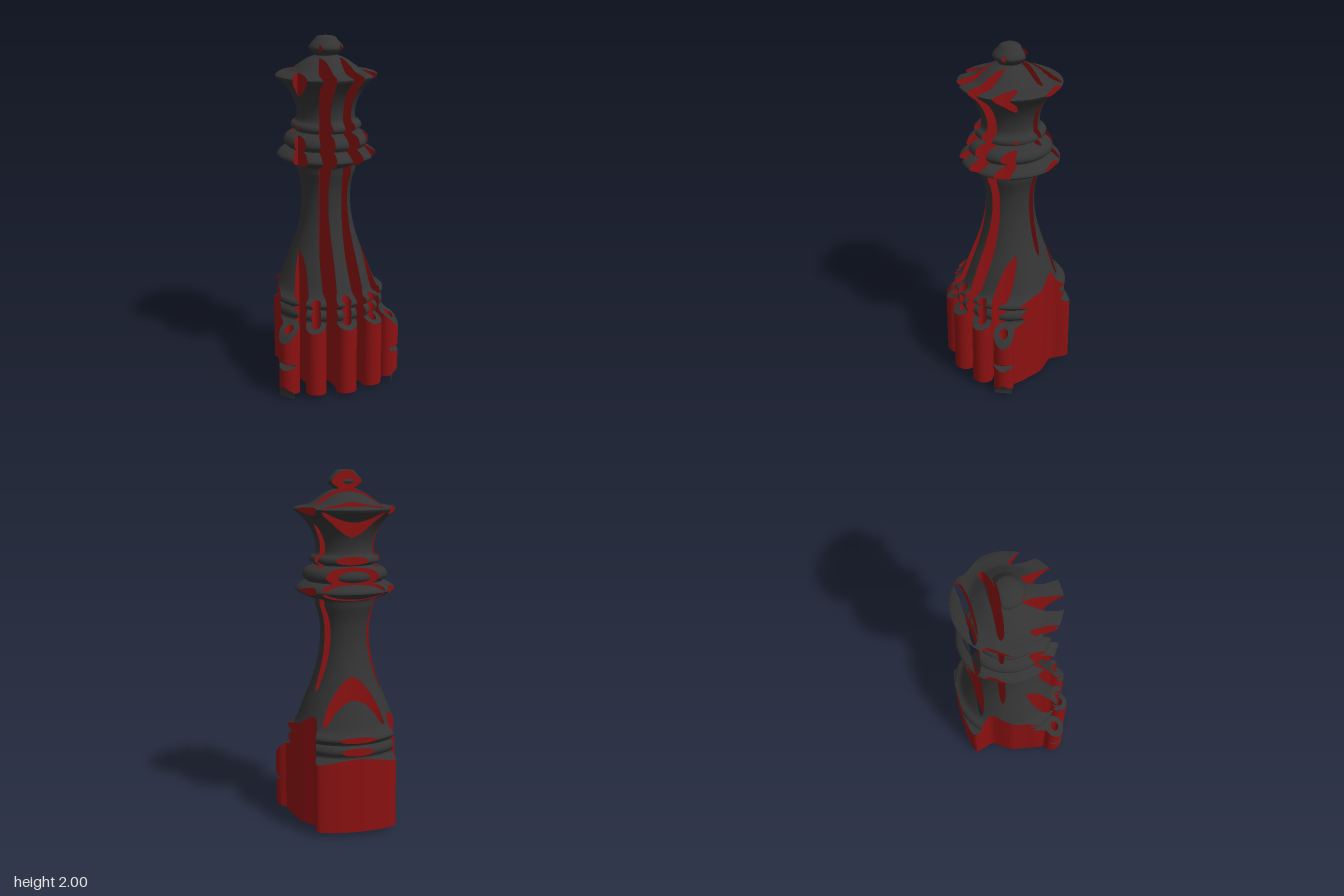
import * as THREE from 'three';
import { toCreasedNormals } from 'three/addons/utils/BufferGeometryUtils.js';

const V = (x, y) => new THREE.Vector2(x, y);
const AXIS_Z = -0.025; // the turned body sits slightly behind the middle

// Turned profile [radius, height], bottom to top
const profile = new THREE.SplineCurve([
  [0.40, 0], [0.405, 0.04], [0.43, 0.07], [0.435, 0.17], [0.395, 0.195], [0.395, 0.21], [0.435, 0.23],
  [0.435, 0.32], [0.415, 0.36], [0.385, 0.40], [0.335, 0.43], [0.31, 0.45], [0.325, 0.475], [0.32, 0.50],
  [0.30, 0.52], [0.325, 0.54], [0.325, 0.56], [0.29, 0.58], [0.265, 0.63], [0.23, 0.72], [0.19, 0.82],
  [0.155, 0.94], [0.138, 1.06], [0.142, 1.18], [0.165, 1.26], [0.17, 1.295], [0.215, 1.31], [0.272, 1.34],
  [0.272, 1.36], [0.235, 1.385], [0.21, 1.395], [0.235, 1.415], [0.235, 1.44], [0.215, 1.465], [0.17, 1.48],
  [0.17, 1.49], [0.197, 1.505], [0.19, 1.53], [0.165, 1.545], [0.163, 1.60], [0.18, 1.66], [0.215, 1.72],
  [0.25, 1.755], [0.277, 1.78], [0.275, 1.797], [0.20, 1.812], [0.165, 1.835], [0.115, 1.87], [0.07, 1.89],
  [0.065, 1.90], [0.092, 1.925], [0.092, 1.945], [0.065, 1.975], [0.048, 1.993], [0, 2.0],
].map(p => V(...p))).getPoints(125);
for (let i = 0; i < profile.length; i++) {
  profile[i].x = Math.max(profile[i].x, 0);
  profile[i].y = i ? Math.min(2, Math.max(profile[i].y, profile[i - 1].y + 1e-4)) : 0;
}

const bottomY = r => 0.04 * (r / 0.43) ** 2;
const radiusAt = (x, z) => Math.hypot(x, z - AXIS_Z);

// Footprint pieces: smooth runs and round finger tips
const smooth = (pts, n = 20) => new THREE.SplineCurve(pts.map(p => V(...p))).getPoints(n);
function arc(cx, cz, r, a0, a1, n = 24) {
  return Array.from({ length: n + 1 }, (_, i) => {
    const a = a0 + (a1 - a0) * i / n;
    return V(cx + r * Math.cos(a), cz + r * Math.sin(a));
  });
}

const TIP = 0.058;
const halfOutline = [
  ...smooth([[0, -0.34], [0.1, -0.337], [0.18, -0.325], [0.22, -0.31], [0.228, -0.29], [0.217, -0.25],
    [0.2, -0.2], [0.212, -0.17], [0.25, -0.12], [0.277, -0.075], [0.293, 0], [0.31, 0.065], [0.316, 0.12]], 56),
  ...arc(0.307, 0.183, TIP, -1.2, Math.PI + 0.6),
  ...smooth([[0.253, 0.135], [0.245, 0.11], [0.222, 0.065], [0.185, 0.027]], 12),
  ...smooth([[0.185, 0.027], [0.18, 0.06], [0.178, 0.1], [0.18, 0.14], [0.19, 0.187]], 14),
  ...arc(0.17, 0.248, TIP, -1.15, Math.PI + 0.55),
  ...smooth([[0.116, 0.2], [0.111, 0.16], [0.096, 0.11], [0.06, 0.027]], 14),
  ...smooth([[0.06, 0.027], [0.044, 0.08], [0.037, 0.13], [0.036, 0.18], [0.042, 0.235]], 14),
  ...arc(0, 0.282, TIP, -0.75, Math.PI / 2, 18),
];
// Completes a half contour by mirroring it in x
const mirrored = half => [...half, ...half.slice(1, -1).reverse().map(p => V(-p.x, p.y))];
const dedupe = c => c.filter((p, i) => p.distanceTo(c[(i + 1) % c.length]) > 1e-5);
const orient = (c, sign) => (THREE.ShapeUtils.area(c) * sign < 0 ? c.reverse() : c);

const outline = orient(dedupe(mirrored(halfOutline)), -1);
const holes = [
  mirrored(smooth([[0, -0.114], [0.1, -0.117], [0.17, -0.12], [0.19, -0.107], [0.17, -0.088], [0.1, -0.074], [0, -0.068]], 30)),
  mirrored(smooth([[0, -0.243], [0.09, -0.245], [0.155, -0.248], [0.175, -0.235], [0.15, -0.214], [0.09, -0.202], [0, -0.198]], 30)),
  ...[[0, 0.282], [0.17, 0.248], [-0.17, 0.248], [0.307, 0.183], [-0.307, 0.183]]
    .map(([x, z]) => arc(x, z, 0.027, 0, Math.PI * 2, 24).slice(0, -1)),
].map(c => orient(dedupe(c), 1));
const contours = [outline, ...holes];

// Signed distance to the footprint, negative inside
function footprint(x, z) {
  let best = Infinity, inside = false;
  for (const c of contours) {
    for (let i = 0, j = c.length - 1; i < c.length; j = i++) {
      const a = c[j], b = c[i], dx = b.x - a.x, dz = b.y - a.y;
      const t = Math.min(1, Math.max(0, ((x - a.x) * dx + (z - a.y) * dz) / (dx * dx + dz * dz)));
      best = Math.min(best, (x - a.x - t * dx) ** 2 + (z - a.y - t * dz) ** 2);
      if ((a.y > z) !== (b.y > z) && x < a.x + (z - a.y) / dz * dx) inside = !inside;
    }
  }
  return Math.sqrt(best) * (inside ? -1 : 1);
}

// Adds a grid surface to out, trimmed to where its fourth value is negative
function trimmedGrid(out, nu, nv, point) {
  const grid = [];
  for (let u = 0; u <= nu; u++) {
    grid.push(Array.from({ length: nv + 1 }, (_, v) => point(u, v)));
  }
  for (let u = 0; u < nu; u++) {
    for (let v = 0; v < nv; v++) {
      const quad = [grid[u][v], grid[u + 1][v], grid[u + 1][v + 1], grid[u][v + 1]];
      const poly = [];
      quad.forEach((a, i) => {
        const b = quad[(i + 1) % 4];
        if (a[3] <= 0) poly.push(a);
        if ((a[3] <= 0) !== (b[3] <= 0)) {
          const t = a[3] / (a[3] - b[3]);
          poly.push(a.map((n, k) => n + (b[k] - n) * t));
        }
      });
      for (let i = 1; i + 1 < poly.length; i++) {
        for (const p of [poly[0], poly[i], poly[i + 1]]) out.push(p[0], p[1], p[2]);
      }
    }
  }
}

function makeMesh(name, positions, color) {
  const g = new THREE.BufferGeometry();
  g.setAttribute('position', new THREE.Float32BufferAttribute(positions, 3));
  const mesh = new THREE.Mesh(toCreasedNormals(g, 0.75), new THREE.MeshStandardMaterial({ color }));
  mesh.name = name;
  return mesh;
}

export function createModel() {
  const group = new THREE.Group();
  group.name = 'slottedChessQueen';
  const SIDES = 180, top = profile.length - 1;
  const polar = (r, u, y) => {
    const a = (u % SIDES) / SIDES * Math.PI * 2;
    const x = r * Math.sin(a), z = AXIS_Z + r * Math.cos(a);
    return [x, y, z, footprint(x, z)];
  };

  // Turned skin kept only over the footprint
  const skin = [];
  trimmedGrid(skin, SIDES, top, (u, v) => polar(profile[v].x, u, profile[v].y));
  group.add(makeMesh('turnedBody', skin, 0x333333));

  // Shallow domed underside
  const under = [];
  trimmedGrid(under, SIDES, 30, (u, v) => polar(0.44 * v / 30, u, bottomY(0.44 * v / 30)));
  group.add(makeMesh('underside', under, 0x333333));

  // Upright cut walls along the outline, slots and finger holes
  const walls = [];
  for (const c of contours) {
    trimmedGrid(walls, c.length, top, (u, v) => {
      const p = c[u % c.length], r = radiusAt(p.x, p.y);
      return [p.x, Math.max(profile[v].y, bottomY(r)), p.y, r - profile[v].x];
    });
  }
  group.add(makeMesh('cutWalls', walls, 0x8b1111));
  return group;
}
